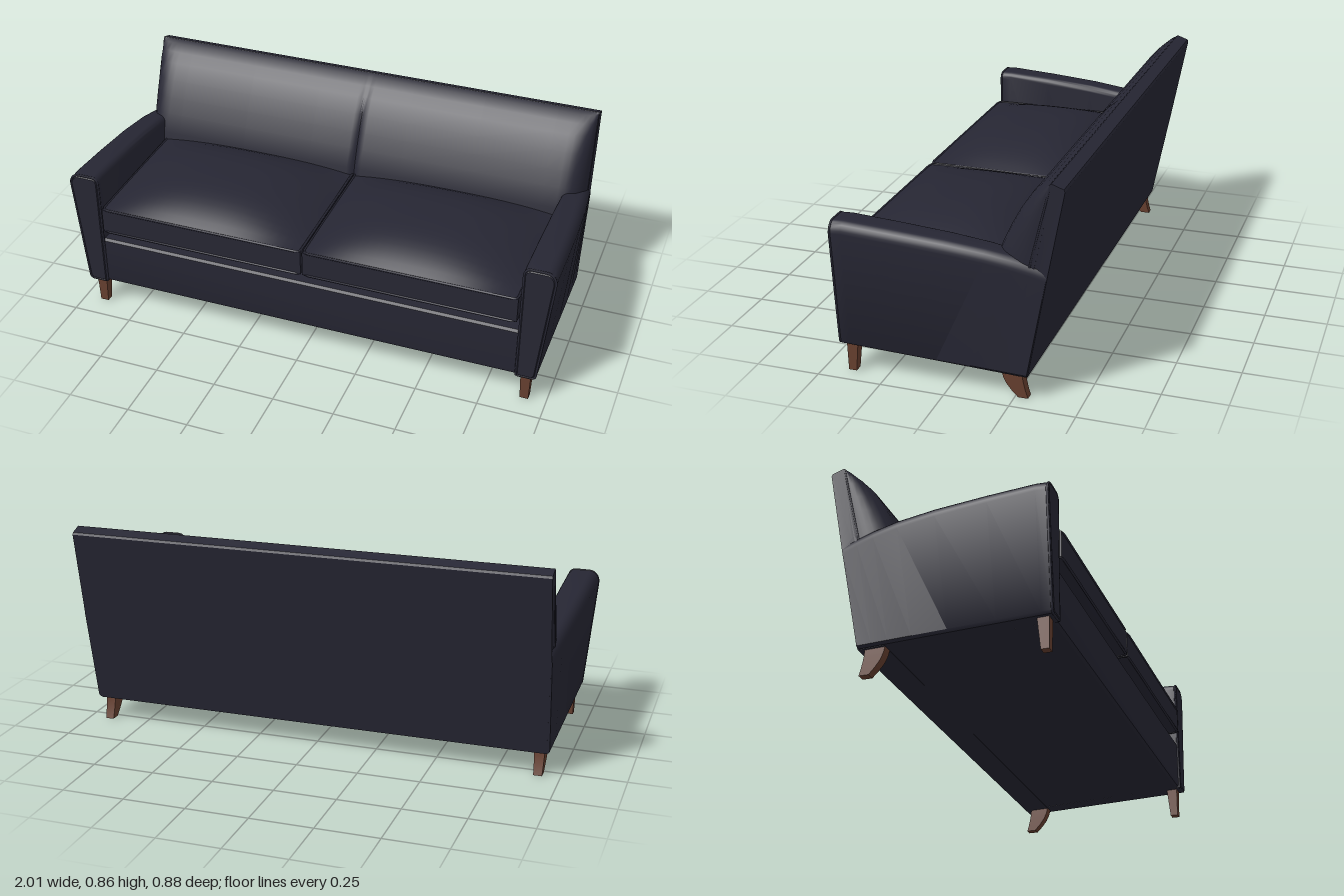
import * as THREE from 'three';
import { toCreasedNormals } from 'three/addons/utils/BufferGeometryUtils.js';

const V = (x, y, z) => new THREE.Vector3(x, y, z);
const lerp = THREE.MathUtils.lerp;
// slanted rear plane of the sofa
const rearZ = (y) => -0.30 - (y - 0.095) * 0.189;
// plane where the back cushion meets the back board
const boardZ = (y) => -0.32 - (y - 0.56) * 0.236;

// Closed solid through a list of equal-length rings, wound outward
function loft(rings, crease = 0.6) {
  const n = rings[0].length, pos = [], idx = [];
  rings.forEach((r) => r.forEach((p) => pos.push(p.x, p.y, p.z)));
  for (let i = 0; i < rings.length - 1; i++) {
    for (let j = 0; j < n; j++) {
      const k = (j + 1) % n, a = i * n + j, b = i * n + k;
      idx.push(a, b, a + n, b, b + n, a + n);
    }
  }
  [0, rings.length - 1].forEach((i) => {
    const c = V(0, 0, 0);
    rings[i].forEach((p) => c.addScaledVector(p, 1 / n));
    const ci = pos.length / 3;
    pos.push(c.x, c.y, c.z);
    for (let j = 0; j < n; j++) {
      const a = i * n + j, b = i * n + ((j + 1) % n);
      if (i === 0) idx.push(ci, b, a); else idx.push(ci, a, b);
    }
  });
  // a negative volume means the faces point inward
  let volume = 0;
  const at = (i) => V(pos[3 * i], pos[3 * i + 1], pos[3 * i + 2]);
  for (let i = 0; i < idx.length; i += 3) volume += at(idx[i]).dot(at(idx[i + 1]).cross(at(idx[i + 2])));
  if (volume < 0) idx.reverse();
  const g = new THREE.BufferGeometry();
  g.setAttribute('position', new THREE.Float32BufferAttribute(pos, 3));
  g.setIndex(idx);
  return toCreasedNormals(g, crease);
}

// Side profile of [z, y] points swept over x, with a half width per height
function sideSolid(profile, halfWidth) {
  return loft([-1, 1].map((s) => profile.map(([z, y]) => V(s * halfWidth(y), y, z))), 0.4);
}

// Thin cord along straight runs
function piping(points, closed, radius = 0.005) {
  const path = new THREE.CurvePath();
  const last = closed ? points.length : points.length - 1;
  for (let i = 0; i < last; i++) path.add(new THREE.LineCurve3(points[i], points[(i + 1) % points.length]));
  return new THREE.TubeGeometry(path, 160, radius, 6, closed);
}

// Arm cross-sections from front to back: [z, top height, outer x, inset]
const ARM = [
  [0.43, 0.625, 1.0, 0.009], [0.42, 0.626, 1.0, 0], [0.38, 0.628, 1.0, 0], [0.2, 0.617, 0.998, 0],
  [0, 0.602, 0.993, 0], [-0.15, 0.585, 0.985, 0], [-0.25, 0.567, 0.976, 0],
  [-0.32, 0.551, 0.968, 0], [-0.3826, 0.533, 0.962, 0],
];
function armRing([z, top, outer, d], side) {
  const t = (0.43 - z) / 0.8126, bottom = lerp(0.12, 0.096, t) + d;
  const pts = [[0.875 + d, bottom]];
  const arc = (cx, cy, rx, ry, from) => {
    for (let i = 0; i <= 6; i++) {
      const a = from - (i / 6) * Math.PI / 2;
      pts.push([cx + rx * Math.cos(a), cy + ry * Math.sin(a)]);
    }
  };
  arc(0.902, top - 0.028, 0.027 - d, 0.028 - d, Math.PI);
  arc(outer - 0.038, top - 0.045, 0.038 - d, 0.045 - d, Math.PI / 2);
  pts.push([0.956 - d, bottom + 0.01], [0.948 - d, bottom]);
  return pts.map(([x, y]) => V(side * x, y, lerp(0.43, rearZ(y), t)));
}

// Back cushion: bulging front that rounds off at both ends, grooved in the middle
function backCushion() {
  const front = [[-0.388, 0.856], [-0.367, 0.848], [-0.335, 0.822], [-0.30, 0.785], [-0.26, 0.725],
    [-0.225, 0.66], [-0.195, 0.595], [-0.165, 0.52], [-0.15, 0.42]];
  const half = [0, 0.006, 0.014, 0.03, 0.2, 0.5, 0.8, 0.86, 0.885, 0.91, 0.93, 0.945, 0.953, 0.957, 0.958];
  const xs = [...half.slice(1).reverse().map((x) => -x), ...half];
  return loft(xs.map((x) => {
    const u = Math.max(0, (Math.abs(x) - 0.86) / 0.0985);
    const full = Math.pow(1 - Math.pow(u, 2.5), 0.4) * (1 - 0.09 * Math.exp(-((x / 0.01) ** 2)));
    const ring = front.map(([z, y]) => V(x, y, lerp(boardZ(y), z, full)));
    ring.push(V(x, 0.42, boardZ(0.42) - 0.02), V(x, 0.84, boardZ(0.84) - 0.01));
    return ring;
  }), 0.7);
}

// Seat cushion: a boxed band with crowned top and underside
const SEAT = { w: 0.862, h: 0.105, d: 0.63, y: 0.433, z: 0.118 };
function seatCushion() {
  const g = new THREE.BoxGeometry(SEAT.w, SEAT.h, SEAT.d, 24, 4, 18);
  const p = g.attributes.position;
  for (let i = 0; i < p.count; i++) {
    const u = Math.abs(p.getX(i) / SEAT.w * 2), v = Math.abs(p.getZ(i) / SEAT.d * 2);
    const crown = (1 - Math.pow(u, 2.5)) * (1 - Math.pow(v, 2.8));
    const y = p.getY(i);
    if (y > SEAT.h / 2 - 1e-4) p.setY(i, y + 0.085 * crown);
    if (y < -SEAT.h / 2 + 1e-4) p.setY(i, y - 0.055 * crown);
  }
  return toCreasedNormals(g, 0.6);
}

export function createModel() {
  const sofa = new THREE.Group();
  sofa.name = 'sofa';
  const fabric = new THREE.MeshStandardMaterial({ color: 0x262633 });
  fabric.name = 'navy fabric';
  const wood = new THREE.MeshStandardMaterial({ color: 0x663f2f });
  wood.name = 'brown wood';
  const add = (name, geometry, material = fabric) => {
    const mesh = new THREE.Mesh(geometry, material);
    mesh.name = name;
    sofa.add(mesh);
    return mesh;
  };

  // frame and back
  add('base', sideSolid([[0.405, 0.119], [0.418, 0.125], [0.422, 0.138], [0.422, 0.322], [0.414, 0.332],
    [-0.29, 0.332], [-0.29, 0.097]], () => 0.885));
  add('backBoard', sideSolid([[-0.302, 0.095], [rearZ(0.5) - 0.002, 0.5], [-0.441, 0.832], [-0.437, 0.841],
    [-0.392, 0.857], [-0.385, 0.85], [-0.32, 0.56], [-0.25, 0.3], [-0.2, 0.098]],
  (y) => (y < 0.5 ? lerp(0.944, 0.958, (y - 0.095) / 0.405) : 0.96)));
  add('backCushion', backCushion());
  add('backPiping', piping([V(-0.957, 0.5, boardZ(0.5)), V(-0.957, 0.852, boardZ(0.852)),
    V(0.957, 0.852, boardZ(0.852)), V(0.957, 0.5, boardZ(0.5))], false, 0.004));

  for (const side of [1, -1]) {
    const label = side > 0 ? 'left' : 'right';
    // arms with a corded front panel
    add(label + 'Arm', loft(ARM.map((s) => armRing(s, side))));
    add(label + 'ArmPiping', piping(armRing([0.424, 0.626, 1.0, 0.002], side), true));

    // seat cushions with cord above and below the band
    const cx = side * 0.4345, a = SEAT.w / 2 - 0.003, b = SEAT.d / 2;
    add(label + 'SeatCushion', seatCushion()).position.set(cx, SEAT.y, SEAT.z);
    for (const s of [1, -1]) {
      const rim = [[-a, -b], [a, -b], [a, b - 0.01], [a - 0.01, b], [-a + 0.01, b], [-a, b - 0.01]];
      const cord = rim.map(([x, z]) => V(x, s * SEAT.h / 2, z));
      add(label + 'SeatPiping', piping(cord, true)).position.set(cx, SEAT.y, SEAT.z);
    }

    // tapered front legs and swept rear legs: [y, rear z, front z, half width]
    const leg = (rows) => loft(rows.map(([y, z0, z1, w]) => [[-w, z0], [w, z0], [w, z1], [-w, z1]]
      .map(([x, z]) => V(side * 0.913 + x, y, z))), 0.5);
    add(label + 'FrontLeg', leg([[0, 0.375, 0.406, 0.017], [0.13, 0.362, 0.408, 0.021]]), wood);
    add(label + 'RearLeg', leg([[0, -0.30, -0.262, 0.017], [0.025, -0.292, -0.238, 0.018],
      [0.05, -0.286, -0.219, 0.019], [0.075, -0.281, -0.207, 0.02], [0.11, -0.278, -0.198, 0.021]]), wood);
  }
  return sofa;
}
